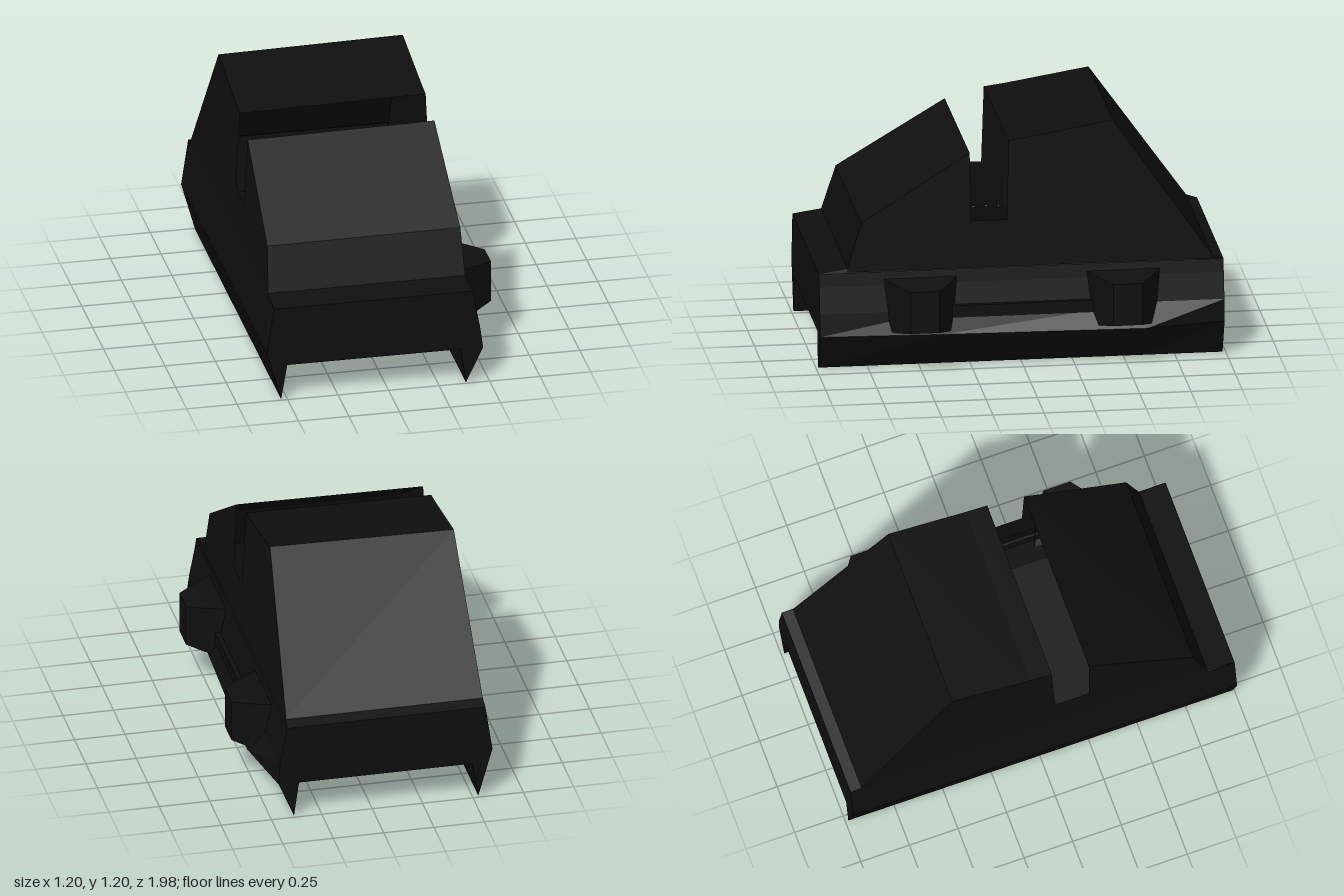
import * as THREE from 'three';

const black = new THREE.MeshStandardMaterial({ color: 0x0f0f0f, side: THREE.DoubleSide });
black.name = 'mattBlack';

function add(group, name, geometry) {
  const g = geometry.index ? geometry.toNonIndexed() : geometry;
  g.computeVertexNormals();
  const mesh = new THREE.Mesh(g, black);
  mesh.name = name;
  group.add(mesh);
}

// Flat-faced skin through a list of cross-sections, each a list of [x, y, z]
function skin(sections, closed = false) {
  const out = [];
  for (let i = 0; i < sections.length - 1; i++) {
    const a = sections[i], b = sections[i + 1];
    const n = closed ? a.length : a.length - 1;
    for (let j = 0; j < n; j++) {
      const k = (j + 1) % a.length;
      out.push(...a[j], ...a[k], ...b[k], ...a[j], ...b[k], ...b[j]);
    }
  }
  const g = new THREE.BufferGeometry();
  g.setAttribute('position', new THREE.Float32BufferAttribute(out, 3));
  return g;
}

// Flat outline [u, v], each corner then placed by a rule
function panel(outline, place) {
  const g = new THREE.ShapeGeometry(new THREE.Shape(outline.map(p => new THREE.Vector2(...p))));
  const pos = g.attributes.position;
  for (let i = 0; i < pos.count; i++) pos.setXYZ(i, ...place(pos.getX(i), pos.getY(i)));
  return g;
}

// Cabin walls lean inwards with height; the roof dips slightly to the right
const onLeft = (z, y) => [0.412 - 0.03 * (y - 0.5) / 0.7, y, z];
const onRight = (z, y) => [-0.565 + 0.035 * (y - 0.5) / 0.7, y - 0.015 * Math.max(0, y - 0.5) / 0.7, z];

// Hull cross-section, a closed loop; rocker is the reach of the left sill
const hullSection = rocker => [
  [-0.565, 0.485], [-0.6, 0.25], [-0.53, 0], [-0.5, 0.18],
  [0.36, 0.18], [0.385, 0], [rocker, 0.18], [0.455, 0.29], [0.43, 0.42], [0.42, 0.485],
];

export function createModel() {
  const model = new THREE.Group();
  model.name = 'armouredHull';

  // Lower hull with blade-like skirts, open on top under the cabin
  const stations = [[0.99, 0.47], [0.4, 0.5], [-0.6, 0.53], [-0.985, 0.46]];
  const sections = stations.map(([z, r]) => hullSection(r).map(([x, y]) => [x, y, z]));
  // drop the closing edge so the top stays open
  add(model, 'lowerHull', skin(sections));
  const ends = [['hullNose', stations[0]], ['hullTail', stations[3]]];
  for (const [name, [z, r]] of ends) add(model, name, panel(hullSection(r), (x, y) => [x, y, z]));

  // Narrow decks in front of and behind the cabin
  const decks = [['frontDeck', 0.99, 0.85], ['rearDeck', -0.985, -0.925]];
  for (const [name, z0, z1] of decks) {
    add(model, name, skin([
      [[-0.565, 0.485, z0], [0.42, 0.485, z0]],
      [[-0.565, 0.505, z1], [0.412, 0.505, z1]],
    ]));
  }

  // Cabin shell: sloped nose, open slot, sloped tail
  const nose = [[0.85, 0.505], [0.78, 0.73], [0.25, 1.06]];
  const tail = [[0.06, 1.115], [-0.05, 1.13], [-0.45, 1.198], [-0.93, 0.505]];
  const wall = [...nose, [0.245, 0.72], [0.07, 0.72], ...tail, [-0.93, 0.485], [0.85, 0.485]];
  for (const [name, place] of [['leftCabinWall', onLeft], ['rightCabinWall', onRight]]) {
    add(model, name, panel(wall, place));
  }
  for (const [name, line] of [['cabinNose', nose], ['cabinRoofAndTail', tail]]) {
    add(model, name, skin(line.map(p => [onRight(...p), onLeft(...p)])));
  }

  // Two tapered pods on the left flank
  const pods = [['frontPod', 0.495], ['rearPod', -0.495]];
  for (const [name, z] of pods) {
    const ring = (x, h, y0, y1) => [[x, y0, z - h], [x, y1, z - h], [x, y1, z + h], [x, y0, z + h]];
    add(model, name, skin([
      ring(0.42, 0.18, 0.19, 0.45),
      ring(0.52, 0.125, 0.2, 0.44),
      ring(0.6, 0.07, 0.22, 0.43),
      ring(0.6, 0.001, 0.325, 0.327),
    ], true));
  }

  // Low rail joining the pods
  const rail = new THREE.BoxGeometry(0.04, 0.06, 0.72);
  rail.translate(0.455, 0.285, 0);
  add(model, 'sideRail', rail);

  return model;
}
